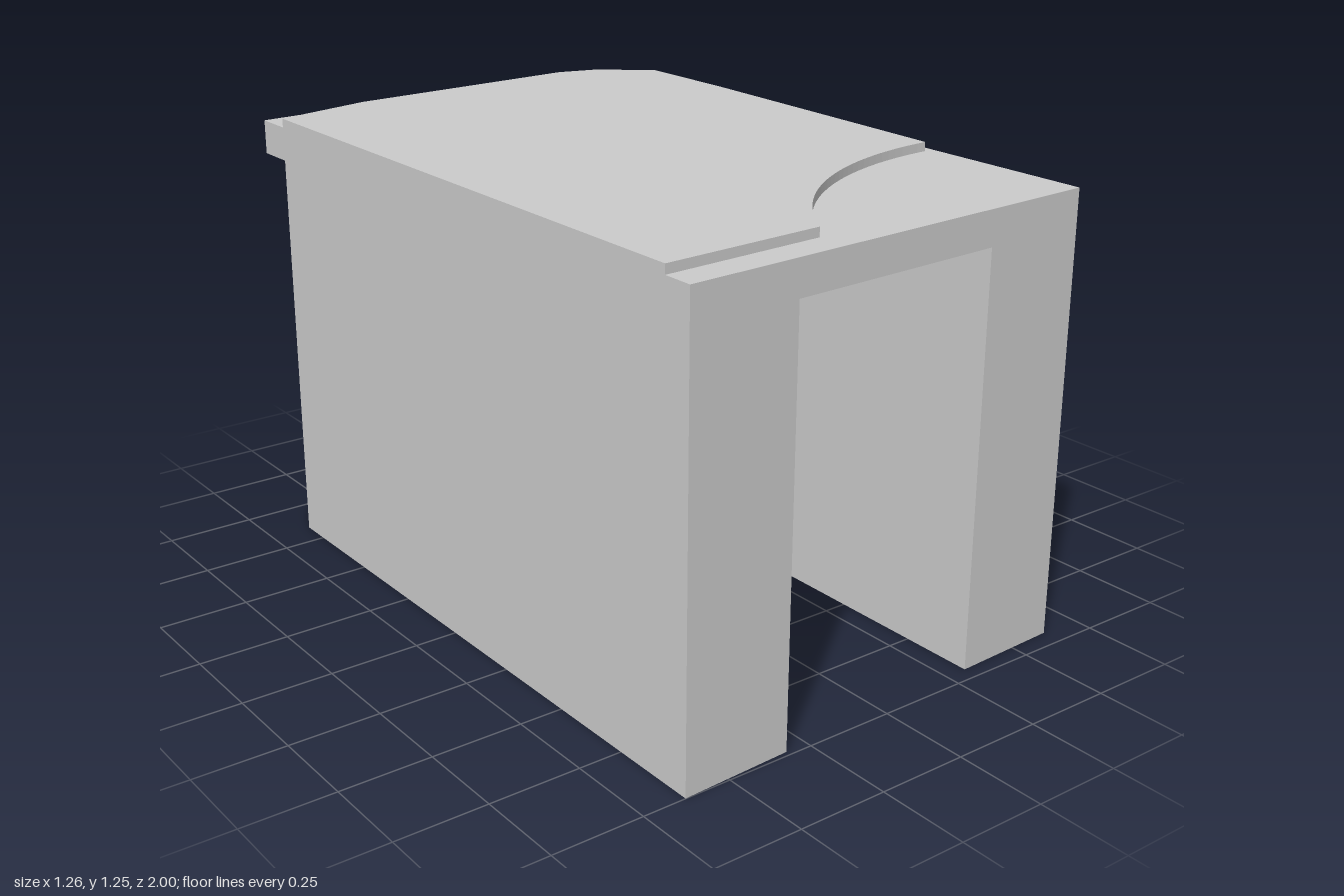
import * as THREE from 'three';

const material = new THREE.MeshStandardMaterial({ color: 0xcccccc, flatShading: true });

// Plan outline given as [x, z] points
function planShape(points) {
  return new THREE.Shape(points.map(([x, z]) => new THREE.Vector2(x, -z)));
}

// Raise a plan outline from height y0 to y1
function prism(name, shape, y0, y1) {
  const geometry = new THREE.ExtrudeGeometry(shape, { depth: y1 - y0, bevelEnabled: false, curveSegments: 16 });
  geometry.rotateX(-Math.PI / 2);
  geometry.translate(0, y0, 0);
  const mesh = new THREE.Mesh(geometry, material);
  mesh.name = name;
  return mesh;
}

export function createModel() {
  const group = new THREE.Group();
  group.name = 'passageBlock';

  const W = 0.63, inner = 0.315;          // outer and passage half widths
  const ceiling = 1.13, deck = 1.225, top = 1.25;
  const frontZ = (x) => 0.972 - 0.0437 * x; // slanted front
  const backZ = (x) => -0.982 - 0.043 * x;  // slanted back

  // Side walls, each with its own cut rear corner
  group.add(prism('leftWall', planShape([
    [inner, frontZ(inner)], [W, frontZ(W)], [W, -0.84], [0.575, -0.84],
    [0.415, -1], [inner, backZ(inner)],
  ]), 0, ceiling));
  group.add(prism('rightWall', planShape([
    [-W, frontZ(-W)], [-inner, frontZ(-inner)], [-inner, backZ(-inner)],
    [-0.573, backZ(-0.573)], [-W, -0.84],
  ]), 0, ceiling));

  // Slab spanning the passage
  group.add(prism('ceilingSlab', planShape([
    [-W, frontZ(-W)], [W, frontZ(W)], [W, -0.84], [0.575, -0.84],
    [0.415, -1], [-W, backZ(-W)],
  ]), ceiling, deck));

  // Thin raised top with a curved bite at the front left corner
  const layer = new THREE.Shape();
  layer.moveTo(-W, -0.915);
  layer.lineTo(-0.18, -0.895);
  layer.absarc(0.62, -1.37, 0.93, 2.606, 1.592, true);
  [[W, -0.46], [W, -0.78], [0.49, -0.9], [0.37, -0.935], [-0.34, -0.905], [-W, -0.84]]
    .forEach(([x, z]) => layer.lineTo(x, -z));
  group.add(prism('topLayer', layer, deck, top));

  return group;
}
